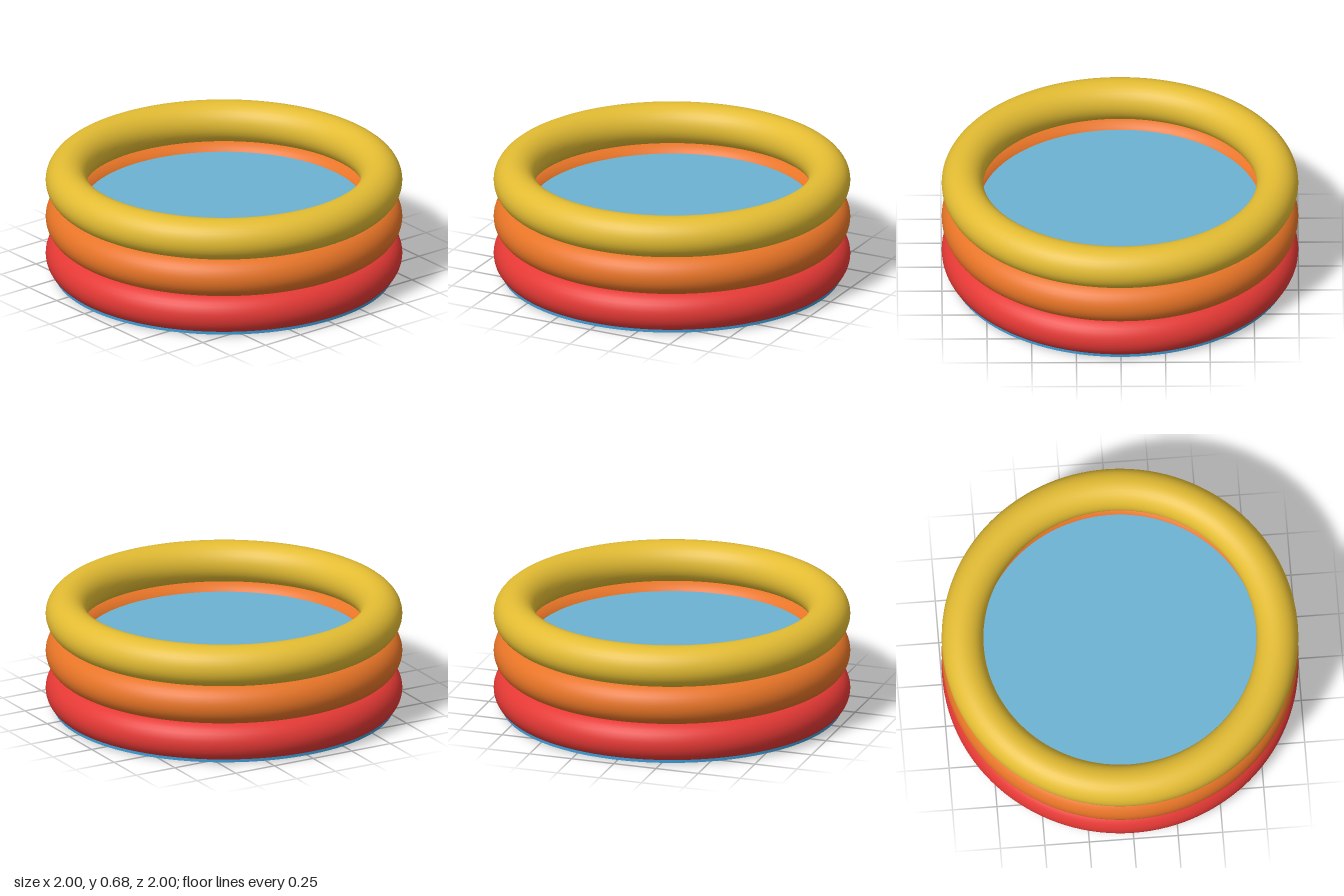
import * as THREE from 'three';

export function createModel() {
  const pool = new THREE.Group();
  pool.name = 'paddlingPool';

  const material = (name, color) => {
    const m = new THREE.MeshStandardMaterial({ color });
    m.name = name;
    return m;
  };
  const add = (name, geometry, mat, y) => {
    const mesh = new THREE.Mesh(geometry, mat);
    mesh.name = name;
    mesh.position.y = y;
    pool.add(mesh);
  };

  // Three inflated rings, stacked with a slight overlap
  const tube = 0.117, spacing = 0.221;
  const ring = new THREE.TorusGeometry(1 - tube, tube, 32, 128).rotateX(Math.PI / 2);
  [
    ['bottomRing', material('red', 0xe53935)],
    ['middleRing', material('orange', 0xe87527)],
    ['topRing', material('yellow', 0xe3bc33)],
  ].forEach(([name, mat], i) => add(name, ring, mat, tube + i * spacing));

  // Floor sheet: the bottom ring bulges slightly through it
  const floorHeight = 0.022;
  add('floor', new THREE.CylinderGeometry(0.953, 0.953, floorHeight, 128),
    material('floorBlue', 0x3d9bd5), 0.007 + floorHeight / 2);

  // Water surface, its edge tucked inside the middle ring
  add('water', new THREE.CylinderGeometry(0.82, 0.82, 0.02, 128),
    material('waterBlue', 0x6cb2d3), 0.397);

  return pool;
}
